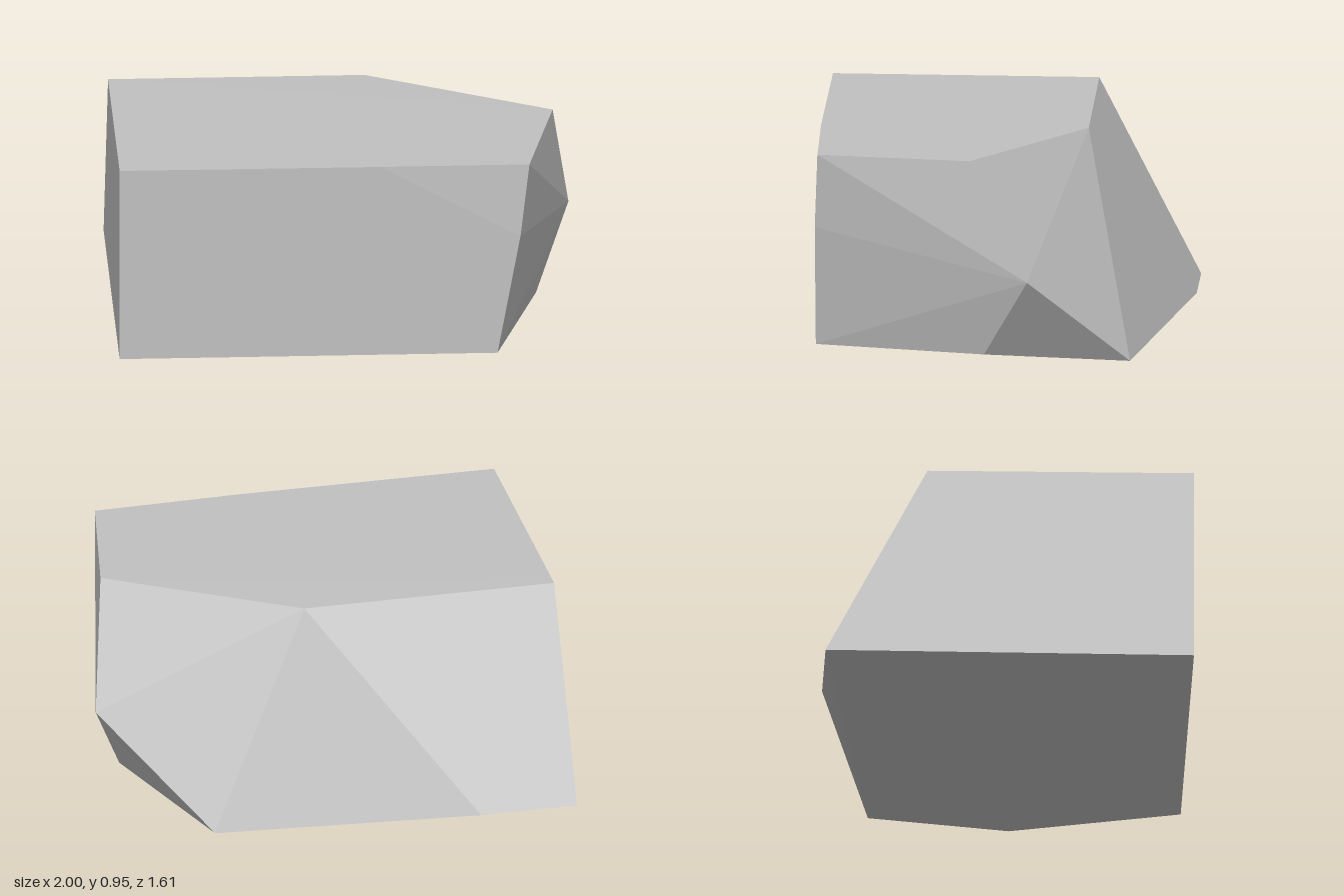
import * as THREE from 'three';
import { ConvexGeometry } from 'three/addons/geometries/ConvexGeometry.js';

export function createModel() {
  const group = new THREE.Group();
  group.name = 'rock';
  const stone = new THREE.MeshStandardMaterial({ color: 0xc0c0c0 });
  stone.name = 'grey stone';

  // Corners of the faceted block, level by level
  const top = [
    [-1, 0.953, 0.803], [0.14, 0.953, 0.803], [0.79, 0.95, 0.79],
    [0.92, 0.953, 0.12], [0.12, 0.946, -0.365], [-1, 0.946, -0.36],
  ];
  const middle = [[0.75, 0.62, 0.803], [1, 0.43, -0.135]];
  const bottom = [
    [-1, 0.077, 0.803], [0.65, 0.08, 0.803], [0.85, 0.08, 0.06],
    [0.565, 0, -0.565], [-0.57, 0.077, -0.805], [-1, 0.077, -0.805],
  ];

  // Flat facets stretched over the corners
  const corners = [...top, ...middle, ...bottom].map((p) => new THREE.Vector3(...p));
  const boulder = new THREE.Mesh(new ConvexGeometry(corners), stone);
  boulder.name = 'boulder';
  group.add(boulder);
  return group;
}
